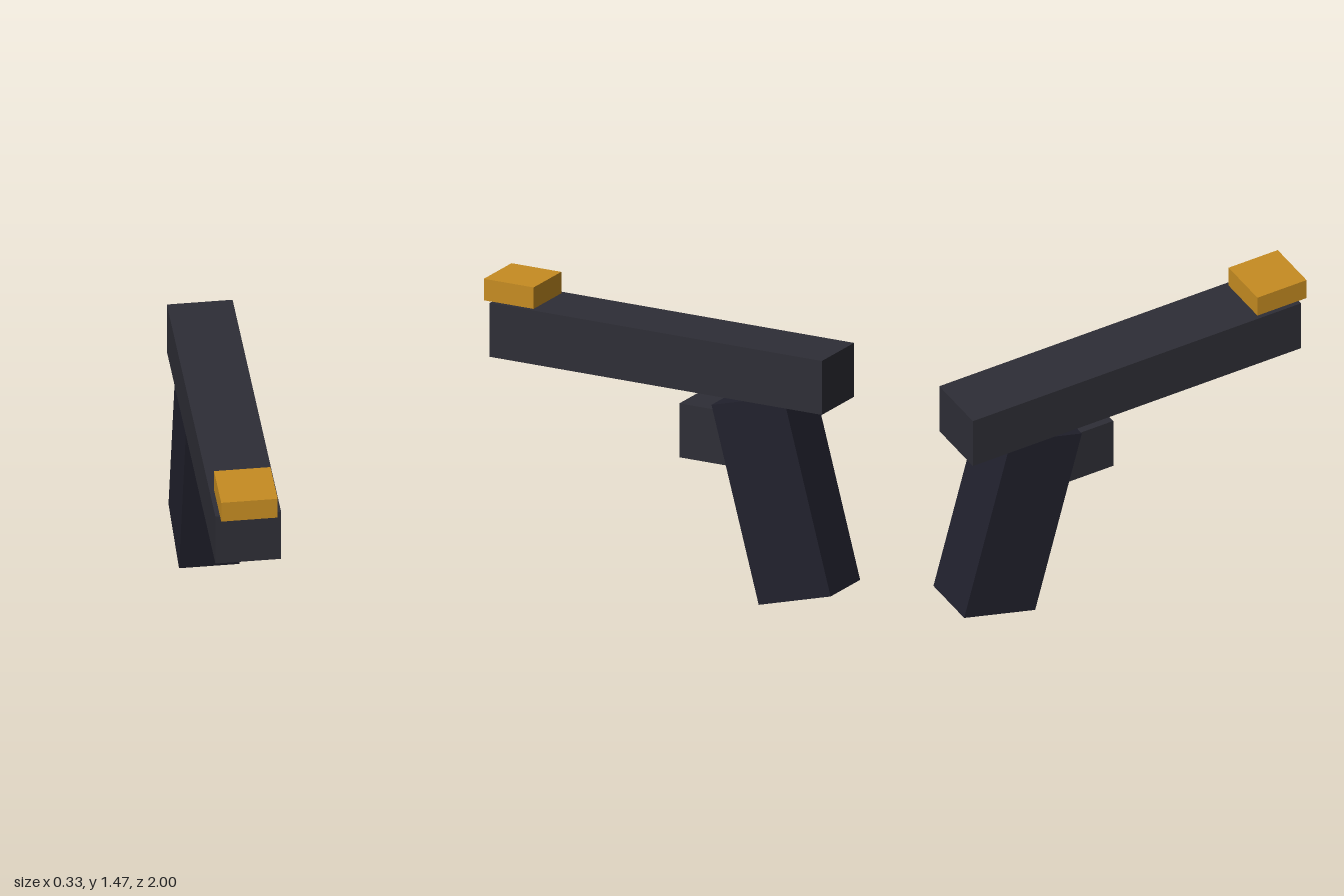
import * as THREE from 'three';

export function createModel() {
  const model = new THREE.Group();
  const slideGrey = new THREE.MeshStandardMaterial({ name: 'slideGrey', color: 0x2e2e36 });
  const gripNavy = new THREE.MeshStandardMaterial({ name: 'gripNavy', color: 0x21212d });
  const sightGold = new THREE.MeshStandardMaterial({ name: 'sightGold', color: 0xc68c22 });

  function block(name, material, size, position) {
    const mesh = new THREE.Mesh(new THREE.BoxGeometry(...size), material);
    mesh.name = name;
    mesh.position.set(...position);
    model.add(mesh);
    return mesh;
  }

  // Long upper body
  block('slide', slideGrey, [0.333, 0.285, 1.91], [0, 1.211, -0.002]);

  // Front sight, overhanging the muzzle slightly
  block('frontSight', sightGold, [0.286, 0.114, 0.286], [0, 1.41, 0.857]);

  // Raked handle, its top tucked into the slide
  const grip = block('grip', gripNavy, [0.305, 1.05, 0.428], [0, 0.5625, -0.657]);
  grip.rotation.x = THREE.MathUtils.degToRad(15);

  // Trigger block, its back tucked into the handle
  block('trigger', slideGrey, [0.19, 0.285, 0.381], [0, 0.828, -0.288]);

  return model;
}
